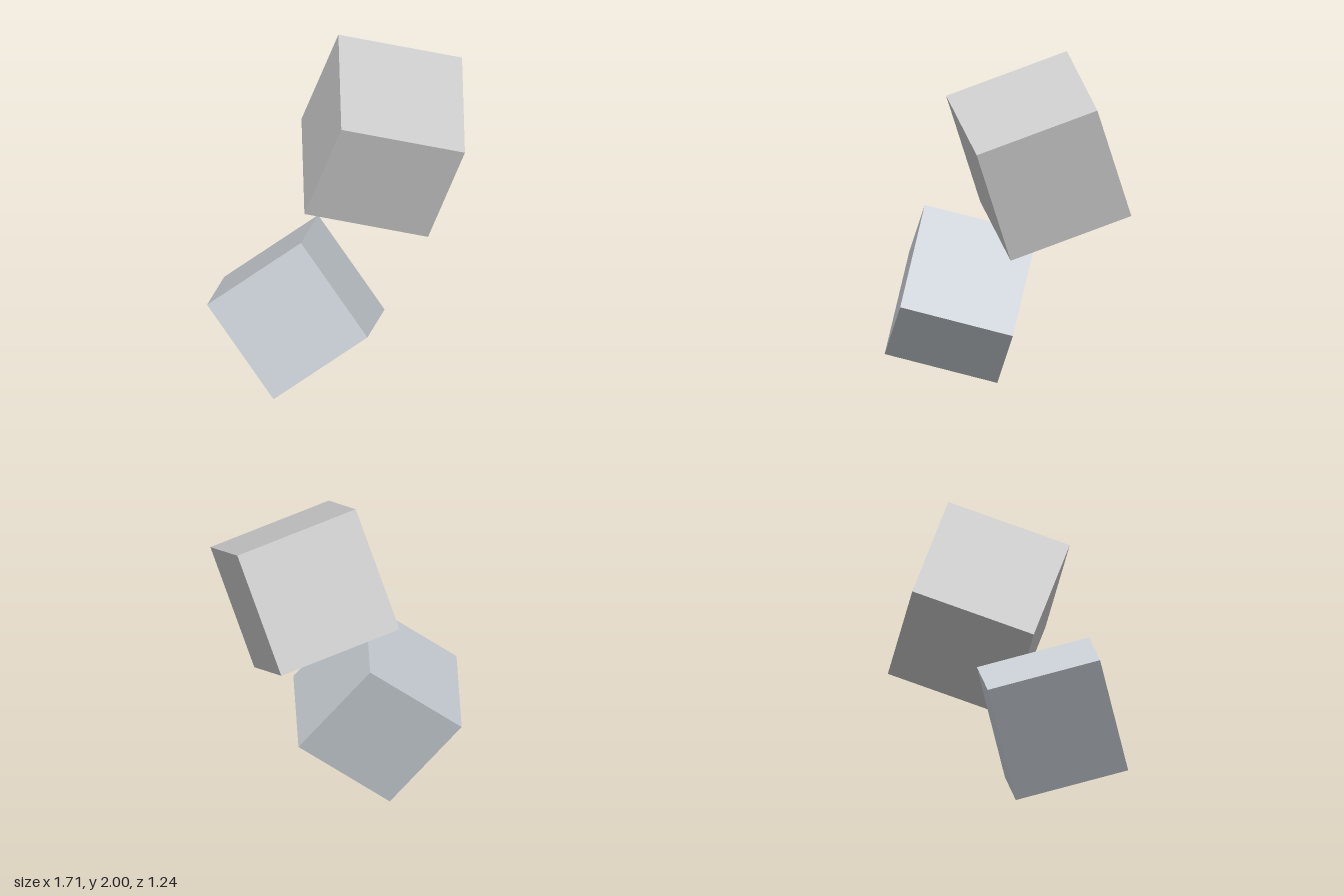
import * as THREE from 'three';

// A cube turned so that two of its edges run along the given directions
function tiltedCube(name, size, color, center, edgeA, edgeB) {
  const x = new THREE.Vector3(...edgeA).normalize();
  const z = new THREE.Vector3().crossVectors(x, new THREE.Vector3(...edgeB)).normalize();
  const y = new THREE.Vector3().crossVectors(z, x);
  const cube = new THREE.Mesh(
    new THREE.BoxGeometry(size, size, size),
    new THREE.MeshStandardMaterial({ color })
  );
  cube.name = name;
  cube.quaternion.setFromRotationMatrix(new THREE.Matrix4().makeBasis(x, y, z));
  cube.position.set(...center);
  return cube;
}

export function createModel() {
  const model = new THREE.Group();
  model.name = 'tumblingCubes';

  // Larger grey cube, upper left
  model.add(tiltedCube('upperCube', 0.74, 0xcccccc,
    [0.322, 1.449, -0.003], [0.613, -0.195, 0.364], [-0.03, -0.674, -0.306]));

  // Smaller cool-grey cube, lower right, balanced on a corner
  model.add(tiltedCube('lowerCube', 0.667, 0xc5cbd1,
    [-0.309, 0.539, -0.003], [-0.186, 0.513, -0.385], [0.465, -0.164, -0.448]));

  return model;
}
